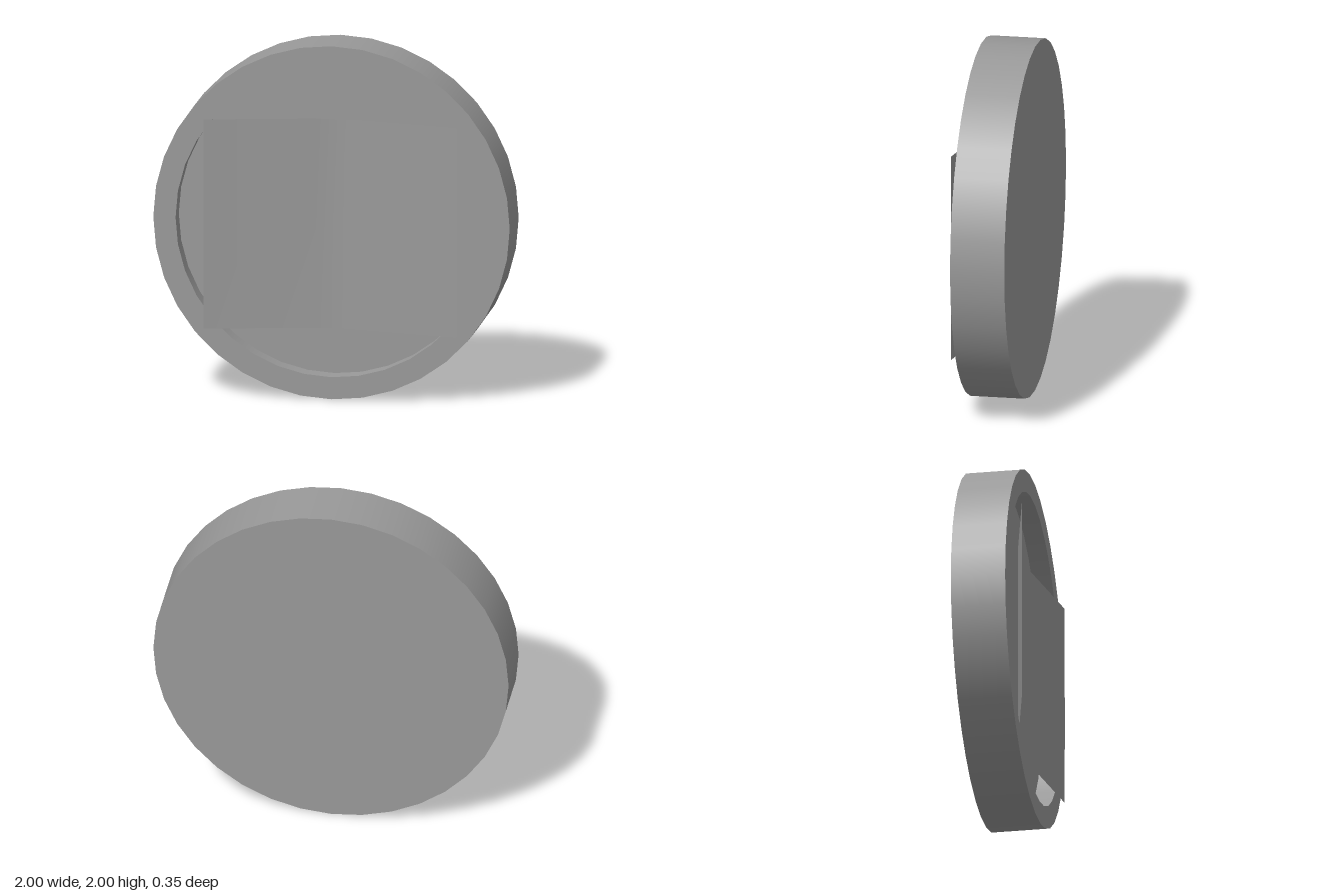
import * as THREE from 'three';

const SIDES = 36;
const OUTER = 1, INNER = 0.875;
const BACK = -0.175, FRONT = 0.13, FLOOR = 0.02;

export function createModel() {
  const model = new THREE.Group();
  model.name = 'recessedDisc';
  const color = 0x999999;
  const material = new THREE.MeshStandardMaterial({ color });
  const thin = new THREE.MeshStandardMaterial({ color, side: THREE.DoubleSide });
  const inside = new THREE.MeshStandardMaterial({ color, side: THREE.BackSide });

  const add = (name, geometry, mat, z) => {
    const mesh = new THREE.Mesh(geometry, mat);
    mesh.name = name;
    mesh.position.set(0, 1, z);
    model.add(mesh);
    return mesh;
  };
  // Open tube wall running along z
  const wall = (radius, z0, z1) =>
    new THREE.CylinderGeometry(radius, radius, z1 - z0, SIDES, 1, true).rotateX(Math.PI / 2);

  // Shallow dish: outer wall, back, rim, recess wall and recess floor
  add('outerWall', wall(OUTER, BACK, FRONT), material, (BACK + FRONT) / 2);
  add('backFace', new THREE.CircleGeometry(OUTER, SIDES).rotateY(Math.PI), material, BACK);
  add('frontRim', new THREE.RingGeometry(INNER, OUTER, SIDES), material, FRONT);
  add('recessWall', wall(INNER, FLOOR, FRONT), inside, (FLOOR + FRONT) / 2);
  add('recessFloor', new THREE.CircleGeometry(INNER, SIDES), material, FLOOR);

  // Thin panel: two wide wings angled forward from a narrow flat middle strip
  const columns = [[-0.71, 0.125], [-0.1, 0], [0.1, 0], [0.71, 0.125]];
  const panel = new THREE.PlaneGeometry(1.42, 1.185, columns.length - 1, 1);
  const p = panel.attributes.position;
  for (let i = 0; i < p.count; i++) {
    const [x, z] = columns[i % columns.length];
    p.setX(i, x).setZ(i, z);
  }
  panel.computeVertexNormals();
  add('bentPanel', panel, thin, 0.05).position.y = 0.977;

  return model;
}
